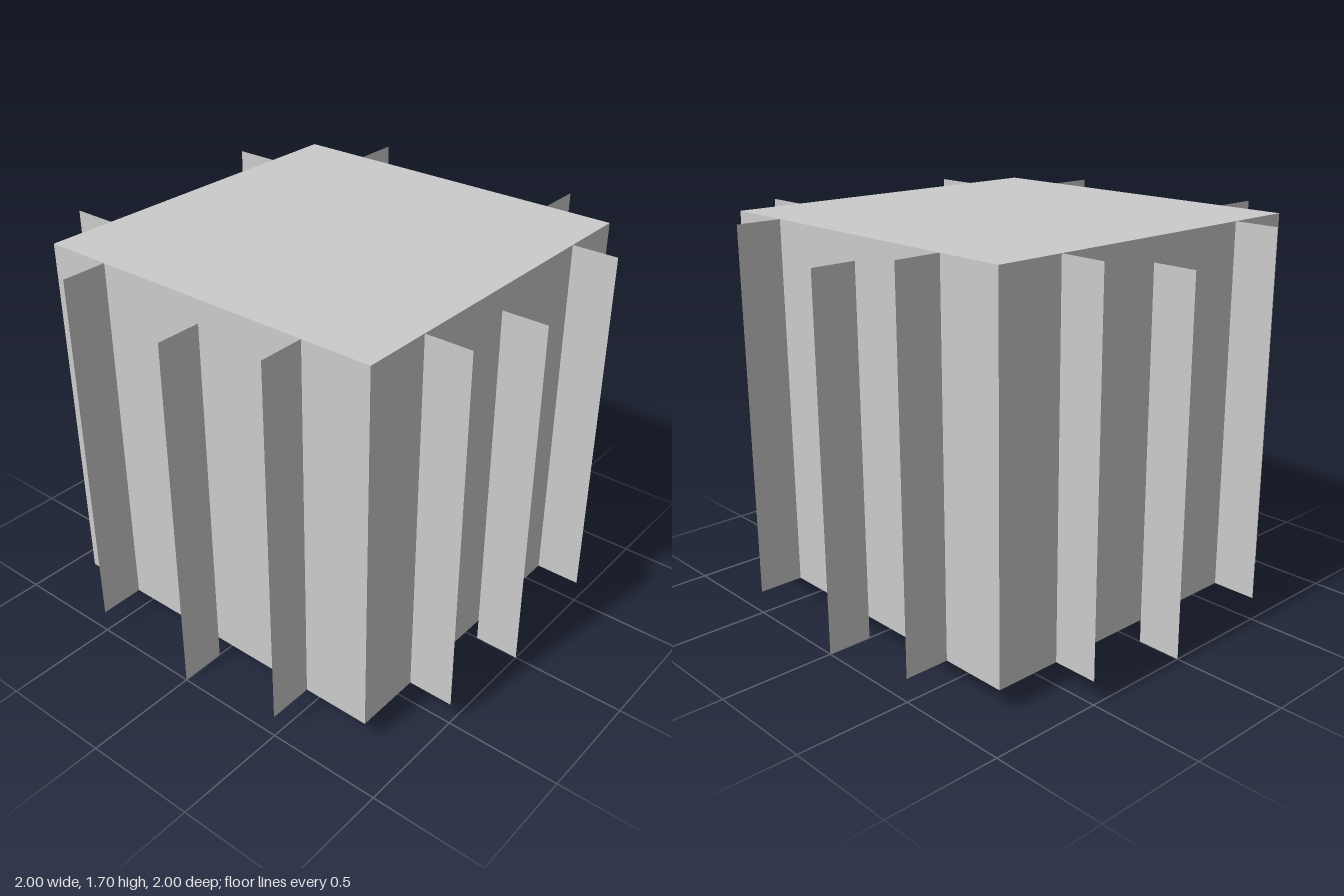
import * as THREE from 'three';

export function createModel() {
  const model = new THREE.Group();
  model.name = 'spinyBlock';

  // Solid core, raised a little off the ground
  const core = new THREE.Mesh(
    new THREE.BoxGeometry(1.6, 1.6, 1.6),
    new THREE.MeshStandardMaterial({ color: 0xcccccc, flatShading: true })
  );
  core.name = 'core';
  core.position.y = 0.9;
  model.add(core);

  // Paper-thin upright fins, three on each side; the middle one hangs lower
  const finMaterial = new THREE.MeshStandardMaterial({
    color: 0xcccccc, flatShading: true, side: THREE.DoubleSide
  });
  const finGeometry = new THREE.PlaneGeometry(0.2, 1.6).rotateY(Math.PI / 2);
  ['front', 'left', 'back', 'right'].forEach((side, i) => {
    const fins = new THREE.Group();
    fins.name = side + 'Fins';
    fins.rotation.y = i * Math.PI / 2;
    for (const x of [-0.5, 0, 0.5]) {
      const fin = new THREE.Mesh(finGeometry, finMaterial);
      fin.name = x === 0 ? 'middleFin' : 'outerFin';
      fin.position.set(x, x === 0 ? 0.8 : 0.9, 0.9);
      fins.add(fin);
    }
    model.add(fins);
  });

  return model;
}
